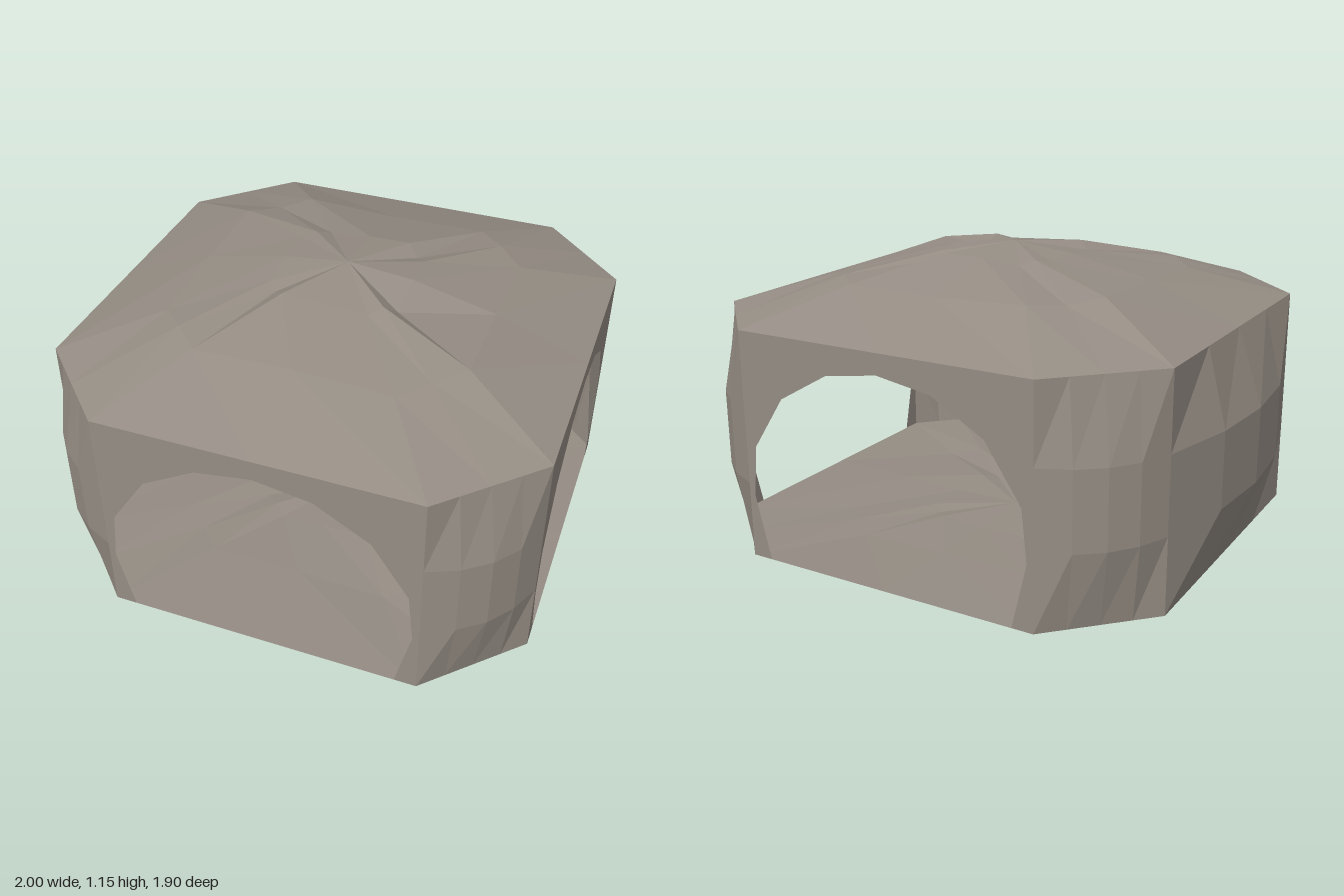
import * as THREE from 'three';

const HALF = 0.95;   // centre to a main wall
const CORNER = 0.615; // half the width of a main wall
const BASE = 0.02;
const EAVE = 0.915;

export function createModel() {
  const stone = new THREE.MeshStandardMaterial({
    color: 0x958d84, flatShading: true, side: THREE.DoubleSide,
  });
  stone.name = 'warm grey stone';

  const model = new THREE.Group();
  const room = new THREE.Group();
  room.name = 'room';
  room.position.x = 0.05;
  model.add(room);

  const add = (name, geometry, turn = 0) => {
    const mesh = new THREE.Mesh(geometry, stone);
    mesh.name = name;
    mesh.rotation.y = turn;
    room.add(mesh);
  };

  // Solid panel whose two middle rows swell outward
  function bulgedPanel(width, distance, bulge) {
    const height = EAVE - BASE;
    const geo = new THREE.PlaneGeometry(width, height, 4, 3);
    const p = geo.attributes.position;
    for (let i = 0; i < p.count; i++) {
      const u = p.getX(i) / (width / 2);
      const inside = Math.abs(p.getY(i)) < height * 0.4;
      p.setZ(i, inside ? bulge * (1 - u * u) : 0);
    }
    geo.translate(0, BASE + height / 2, distance);
    geo.computeVertexNormals();
    return geo;
  }

  // Flat wall with a faceted horseshoe arch open to the floor
  function archWall() {
    const side = [[0.53, BASE], [0.59, 0.27], [0.57, 0.47], [0.43, 0.68], [0.22, 0.8]];
    const arch = [...side, [0, 0.835], ...side.map(([x, y]) => [-x, y]).reverse()];
    const outline = [[-CORNER, BASE], [-CORNER, EAVE], [CORNER, EAVE], [CORNER, BASE], ...arch];
    const shape = new THREE.Shape(outline.map(([x, y]) => new THREE.Vector2(x, y)));
    return new THREE.ShapeGeometry(shape).translate(0, 0, HALF);
  }

  // Octagonal sheet: a centre point and uneven rings running out to the rim
  function octagonSheet(centreY, rings) {
    const c = [
      [HALF, CORNER], [CORNER, HALF], [-CORNER, HALF], [-HALF, CORNER],
      [-HALF, -CORNER], [-CORNER, -HALF], [CORNER, -HALF], [HALF, -CORNER],
    ];
    const rim = [];
    c.forEach((a, i) => {
      const b = c[(i + 1) % 8];
      rim.push(a, [(a[0] + b[0]) / 2, (a[1] + b[1]) / 2]);
    });
    const points = [0, centreY, 0];
    for (const { t, y, offsets } of rings) {
      rim.forEach(([x, z], i) => points.push(x * t, y + (offsets ? offsets[i] : 0), z * t));
    }
    const index = [];
    for (let i = 0; i < 16; i++) {
      const j = (i + 1) % 16;
      index.push(0, 1 + j, 1 + i);
      for (let r = 0; r < rings.length - 1; r++) {
        const a = 1 + r * 16, b = a + 16;
        index.push(a + i, a + j, b + i, a + j, b + j, b + i);
      }
    }
    const geo = new THREE.BufferGeometry();
    geo.setAttribute('position', new THREE.Float32BufferAttribute(points, 3));
    geo.setIndex(index);
    geo.computeVertexNormals();
    return geo;
  }

  // Three open walls and one solid wall
  add('frontArchWall', archWall());
  add('leftArchWall', archWall(), Math.PI / 2);
  add('backArchWall', archWall(), Math.PI);
  add('rightSolidWall', bulgedPanel(CORNER * 2, HALF, 0.1), -Math.PI / 2);

  // Swollen diagonal pillars at the corners
  const chord = (HALF - CORNER) * Math.SQRT2;
  const reach = (HALF + CORNER) / Math.SQRT2;
  for (let i = 0; i < 4; i++) {
    add('cornerPillar' + (i + 1), bulgedPanel(chord, reach, 0.06), Math.PI / 4 + i * Math.PI / 2);
  }

  // Uneven domed roof with creases running out from the peak
  add('roof', octagonSheet(1.15, [
    { t: 0.27, y: 1.115, offsets: [-0.035, 0.01, -0.01, 0, 0.01, -0.02, -0.01, 0.005,
      0, 0.01, -0.01, 0.005, 0.01, -0.025, -0.005, 0.01] },
    { t: 0.62, y: 1.04, offsets: [0.015, 0, -0.01, 0.01, 0, 0.01, -0.01, 0.01,
      0.02, 0, 0.01, -0.005, 0, 0.01, -0.01, 0.005] },
    { t: 1, y: EAVE },
  ]));

  // Nearly flat floor with faint unevenness
  add('floor', octagonSheet(0.012, [
    { t: 0.3, y: 0.012, offsets: [0.006, -0.008, 0.004, 0, -0.006, 0.008, -0.004, 0.005,
      -0.008, 0.006, 0, -0.005, 0.007, -0.006, 0.004, -0.003] },
    { t: 0.6, y: 0.012, offsets: [-0.006, 0.005, -0.012, 0.004, 0.006, -0.004, 0.005, -0.006,
      0.003, -0.005, 0.006, 0.002, -0.006, 0.004, -0.003, 0.006] },
    { t: 1, y: BASE },
  ]));

  return model;
}
